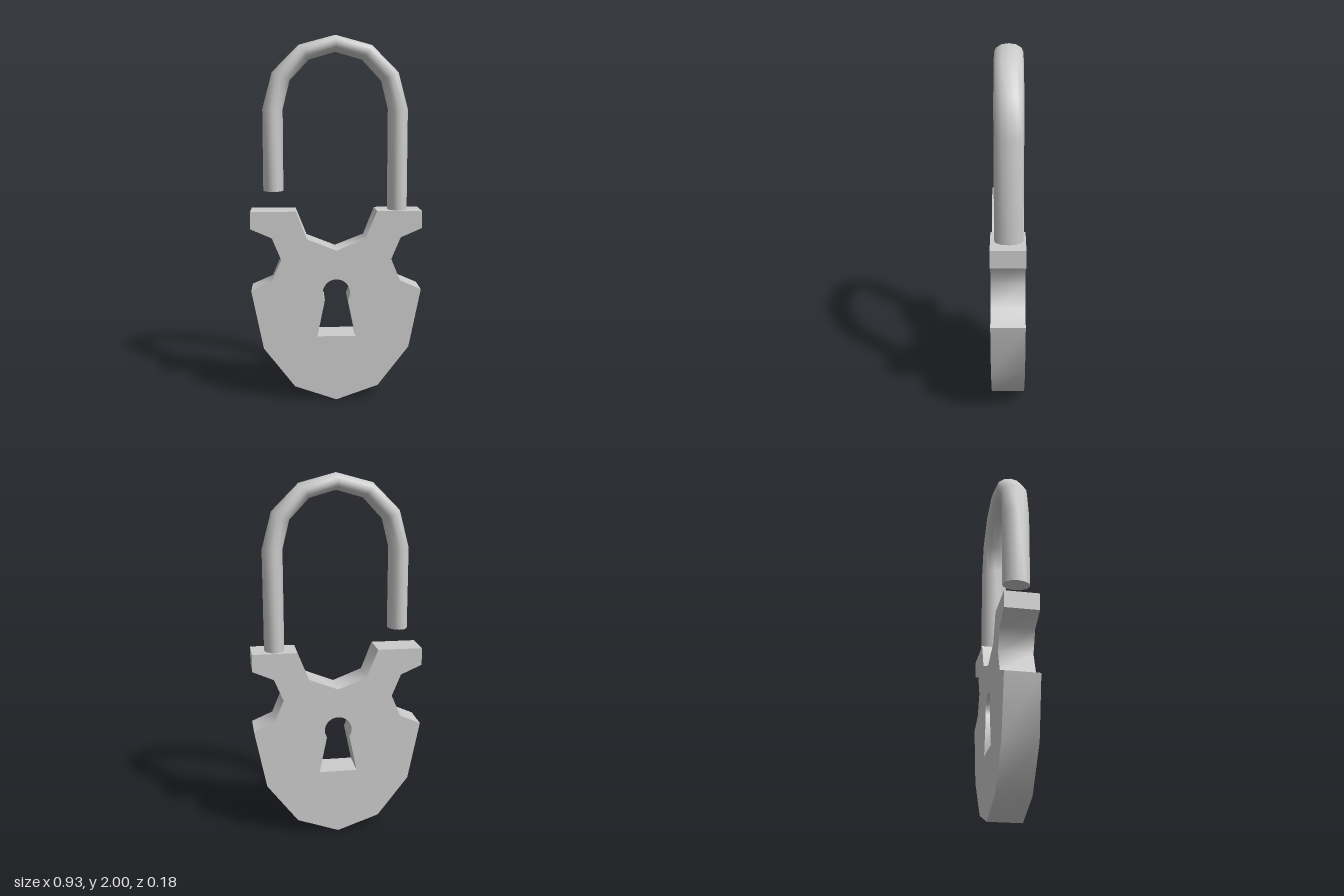
import * as THREE from 'three';
import { toCreasedNormals } from 'three/addons/utils/BufferGeometryUtils.js';

const material = new THREE.MeshStandardMaterial({ color: 0xcccccc });
const DEPTH = 0.184;

// Flat plate with a mirrored outline and a keyhole cut through it
function createBody() {
  const half = [
    [0, 0], [0.23, 0.08], [0.4, 0.3], [0.465, 0.625], [0.35, 0.675], [0.3, 0.795],
    [0.35, 0.915], [0.465, 0.965], [0.465, 1.06], [0.22, 1.06], [0.16, 0.908], [0, 0.845],
  ];
  const mirrored = half.slice(1, -1).reverse().map(([x, y]) => [-x, y]);
  const shape = new THREE.Shape([...half, ...mirrored].map(([x, y]) => new THREE.Vector2(x, y)));

  const keyhole = new THREE.Path();
  keyhole.moveTo(-0.105, 0.365);
  keyhole.lineTo(0.105, 0.365);
  keyhole.absarc(0, 0.61, 0.075, -0.57, Math.PI + 0.57, false);
  keyhole.closePath();
  shape.holes.push(keyhole);

  const geometry = new THREE.ExtrudeGeometry(shape, { depth: DEPTH, bevelEnabled: false, curveSegments: 12 });
  geometry.translate(0, 0, -DEPTH / 2);
  const body = new THREE.Mesh(toCreasedNormals(geometry, 0.87), material);
  body.name = 'lockBody';
  return body;
}

// Oval bar swept over a faceted arch; the left-hand leg is the short, open one
function createShackle() {
  const group = new THREE.Group();
  group.name = 'shackle';
  const SIDES = 12, RX = 0.055, RY = 0.045, RZ = 0.075;

  // Each ring: centre x, centre y, in-plane offset x, in-plane offset y
  const rings = [[-0.34, 1.165, -RX, 0]];
  for (let i = 0; i <= 6; i++) {
    const a = Math.PI * (1 - i / 6);
    const c = Math.cos(a), s = Math.sin(a);
    rings.push([0.34 * c, 1.607 + 0.348 * s, RX * c, RY * s]);
  }
  rings.push([0.34, 1.05, RX, 0]);

  const positions = [], indices = [];
  rings.forEach(([x, y, ox, oy], r) => {
    for (let j = 0; j < SIDES; j++) {
      const t = (j / SIDES) * Math.PI * 2;
      positions.push(x + ox * Math.cos(t), y + oy * Math.cos(t), RZ * Math.sin(t));
      if (r === rings.length - 1) continue;
      const a = r * SIDES + j, b = r * SIDES + ((j + 1) % SIDES);
      indices.push(a, b, a + SIDES, b, b + SIDES, a + SIDES);
    }
  });
  const geometry = new THREE.BufferGeometry();
  geometry.setAttribute('position', new THREE.Float32BufferAttribute(positions, 3));
  geometry.setIndex(indices);
  geometry.computeVertexNormals();
  const bar = new THREE.Mesh(geometry, material);
  bar.name = 'shackleBar';
  group.add(bar);

  // Flat, downward-facing end caps
  for (const [x, y, name] of [[-0.34, 1.165, 'openEnd'], [0.34, 1.05, 'fixedEnd']]) {
    const cap = new THREE.CircleGeometry(1, SIDES);
    cap.scale(RX, RZ, 1);
    cap.rotateX(Math.PI / 2);
    const mesh = new THREE.Mesh(cap, material);
    mesh.position.set(x, y, 0);
    mesh.name = name;
    group.add(mesh);
  }
  group.position.set(-0.001, 0, -0.004);
  return group;
}

export function createModel() {
  const model = new THREE.Group();
  model.name = 'padlock';
  model.add(createBody(), createShackle());
  return model;
}
